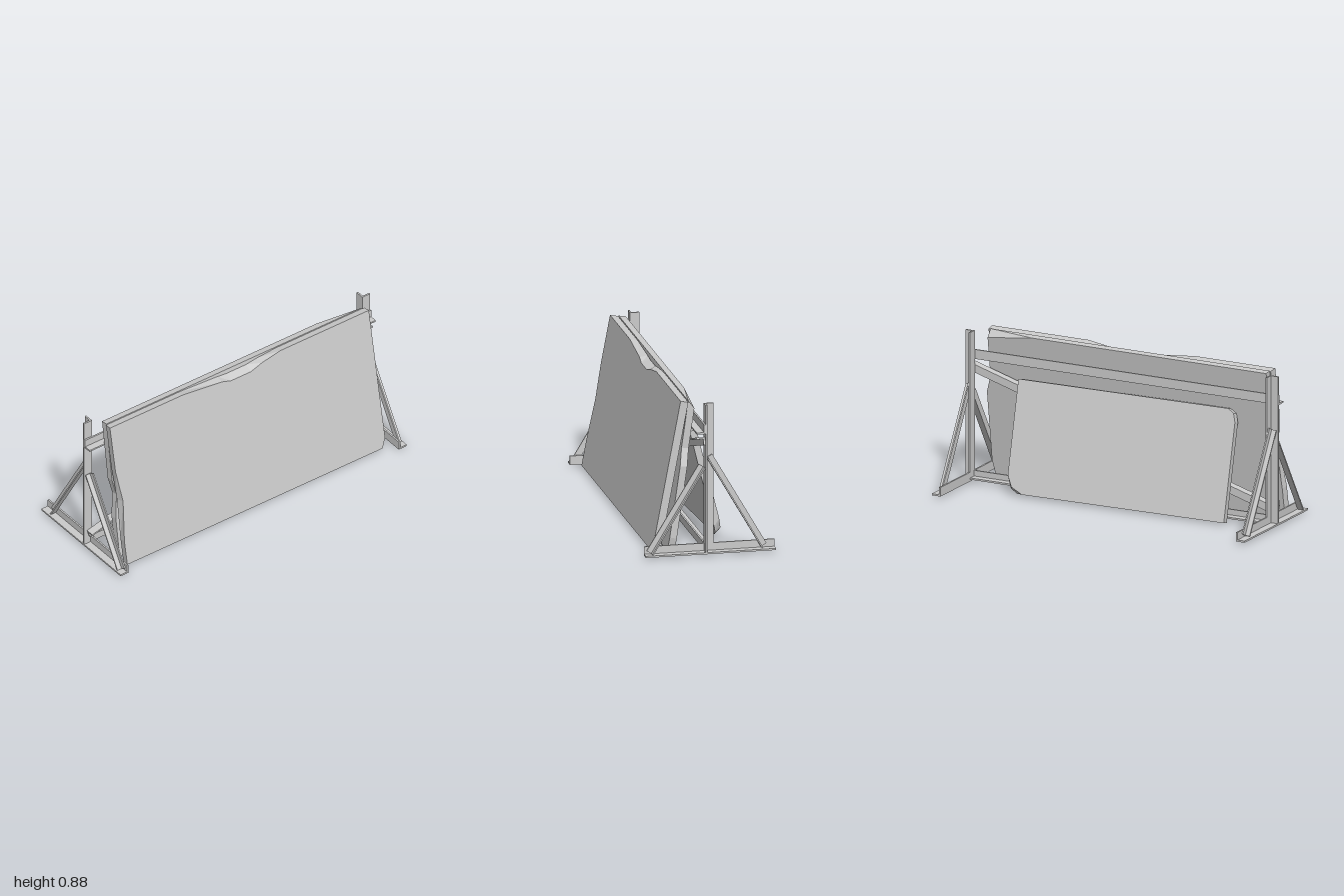
import * as THREE from 'three';

const steel = new THREE.MeshStandardMaterial({ color: 0xcccccc });
const stone = new THREE.MeshStandardMaterial({ color: 0xcccccc, flatShading: true });
const V = (x, y, z) => new THREE.Vector3(x, y, z);

// L-section bar: its outer corner runs p -> q, its flanges point along a and b
function angleBar(name, p, q, a, b, w = 0.055, w2 = w, t = 0.01) {
  const g = new THREE.Group();
  g.name = name;
  const dir = q.clone().sub(p), len = dir.length();
  dir.normalize();
  const c = a.clone().cross(dir);
  const s = Math.sign(c.dot(b));
  const flangeA = new THREE.Mesh(new THREE.BoxGeometry(w, len, t), steel);
  flangeA.position.set(w / 2, len / 2, s * t / 2);
  flangeA.name = name + 'FlangeA';
  const flangeB = new THREE.Mesh(new THREE.BoxGeometry(t, len, w2 - t), steel);
  flangeB.position.set(t / 2, len / 2, s * (w2 + t) / 2);
  flangeB.name = name + 'FlangeB';
  g.add(flangeA, flangeB);
  g.quaternion.setFromRotationMatrix(new THREE.Matrix4().makeBasis(a, dir, c));
  g.position.copy(p);
  return g;
}

// Rough slab: matching front and back outlines (counter-clockwise), joined by an edge band
function slab(name, front, back, thick) {
  const f = front.map(([x, y]) => V(x, y, 0));
  const k = back.map(([x, y]) => V(x, y, -thick));
  const pts = [];
  const tris = THREE.ShapeUtils.triangulateShape(front.map(([x, y]) => new THREE.Vector2(x, y)), []);
  for (const [i, j, l] of tris) pts.push(f[i], f[j], f[l], k[l], k[j], k[i]);
  f.forEach((_, i) => {
    const j = (i + 1) % f.length;
    pts.push(f[i], k[i], k[j], f[i], k[j], f[j]);
  });
  const geo = new THREE.BufferGeometry().setFromPoints(pts);
  geo.computeVertexNormals();
  const m = new THREE.Mesh(geo, stone);
  m.name = name;
  return m;
}

// End frame: base, post and two sloping braces
function endFrame(s) {
  const g = new THREE.Group();
  g.name = s > 0 ? 'leftEndFrame' : 'rightEndFrame';
  const out = V(s, 0, 0), xi = s * 0.945, xb = s * 0.957;
  g.add(angleBar('base', V(xi, 0.01, -0.375), V(xi, 0.01, 0.375), V(0, 1, 0), out, 0.053, 0.055));
  g.add(angleBar('post', V(xi, 0.02, 0.03), V(xi, 0.88, 0.03), out, V(0, 0, -1), 0.055));
  const brace = (name, p, q, side) => {
    const d = q.clone().sub(p).normalize();
    const n = V(0, Math.abs(d.z), side * d.y);
    g.add(angleBar(name, p, q, n, out, 0.038, 0.036, 0.008));
  };
  brace('frontBrace', V(xb, 0.02, 0.33), V(xb, 0.51, 0.03), 1);
  brace('backBrace', V(xb, 0.025, -0.295), V(xb, 0.565, 0.018), -1);
  return g;
}

export function createModel() {
  const root = new THREE.Group();
  root.name = 'slabRack';
  root.add(endFrame(1), endFrame(-1));

  // Long rails and the diagonal tie between the end frames
  const up = V(0, 1, 0), fwd = V(0, 0, 1);
  root.add(angleBar('topRail', V(-1, 0.713, 0.03), V(1, 0.713, 0.03), up, fwd, 0.055, 0.052));
  root.add(angleBar('bottomRail', V(-0.945, 0.02, 0.03), V(0.945, 0.02, 0.03), up, V(0, 0, -1), 0.043, 0.055));
  const p = V(-0.98, 0.11, 0.03), q = V(0.98, 0.69, 0.03);
  const d = q.clone().sub(p).normalize();
  root.add(angleBar('diagonalTie', p, q, V(d.y, -d.x, 0), fwd, 0.045, 0.05));

  // Outer front slab with a chipped top edge and a nicked side
  const outer = slab('outerFrontSlab',
    [[-0.91, 0], [0.875, 0], [0.9, 0.06], [0.9, 0.885], [0.28, 0.885], [0.15, 0.862], [0.07, 0.838],
      [-0.07, 0.838], [-0.13, 0.856], [-0.4, 0.885], [-0.91, 0.885], [-0.91, 0.6], [-0.885, 0.4], [-0.91, 0.15]],
    [[-0.905, 0], [0.9, 0], [0.9, 0.06], [0.9, 0.885], [0.28, 0.885], [0.15, 0.876], [0.07, 0.866],
      [-0.07, 0.866], [-0.13, 0.872], [-0.4, 0.885], [-0.905, 0.885], [-0.905, 0.6], [-0.895, 0.4], [-0.905, 0.15]],
    0.045);
  outer.position.set(0, 0.015, 0.317);
  outer.rotation.x = -0.187;

  // Inner front slab with a chipped back corner and underside
  const inner = slab('innerFrontSlab',
    [[-0.9, 0], [-0.2, 0], [0, 0], [0.2, 0], [0.9, 0], [0.915, 0.08], [0.915, 0.5], [0.885, 0.6], [0.885, 0.874],
      [0.6, 0.874], [-0.9, 0.874], [-0.9, 0.5], [-0.88, 0.4], [-0.9, 0.25]],
    [[-0.9, 0], [-0.2, 0], [0, 0.04], [0.2, 0], [0.9, 0], [0.915, 0.08], [0.915, 0.5], [0.885, 0.6], [0.885, 0.835],
      [0.6, 0.874], [-0.9, 0.874], [-0.9, 0.5], [-0.88, 0.4], [-0.9, 0.25]],
    0.041);
  inner.position.set(0, 0.015, 0.23);
  inner.rotation.x = -0.1435;

  // Smaller slab leaning on the back, slightly turned
  const rear = slab('backSlab',
    [[-0.68, 0], [0.63, 0], [0.67, 0.025], [0.68, 0.06], [0.68, 0.644], [-0.63, 0.644], [-0.665, 0.62], [-0.68, 0.57]],
    [[-0.68, 0], [0.58, 0], [0.65, 0.035], [0.68, 0.1], [0.68, 0.644], [-0.63, 0.644], [-0.665, 0.62], [-0.68, 0.57]],
    0.04);
  rear.position.set(-0.028, 0.004, -0.078);
  rear.rotation.set(0.245, 0.05, 0.006, 'YXZ');

  root.add(outer, inner, rear);
  return root;
}
